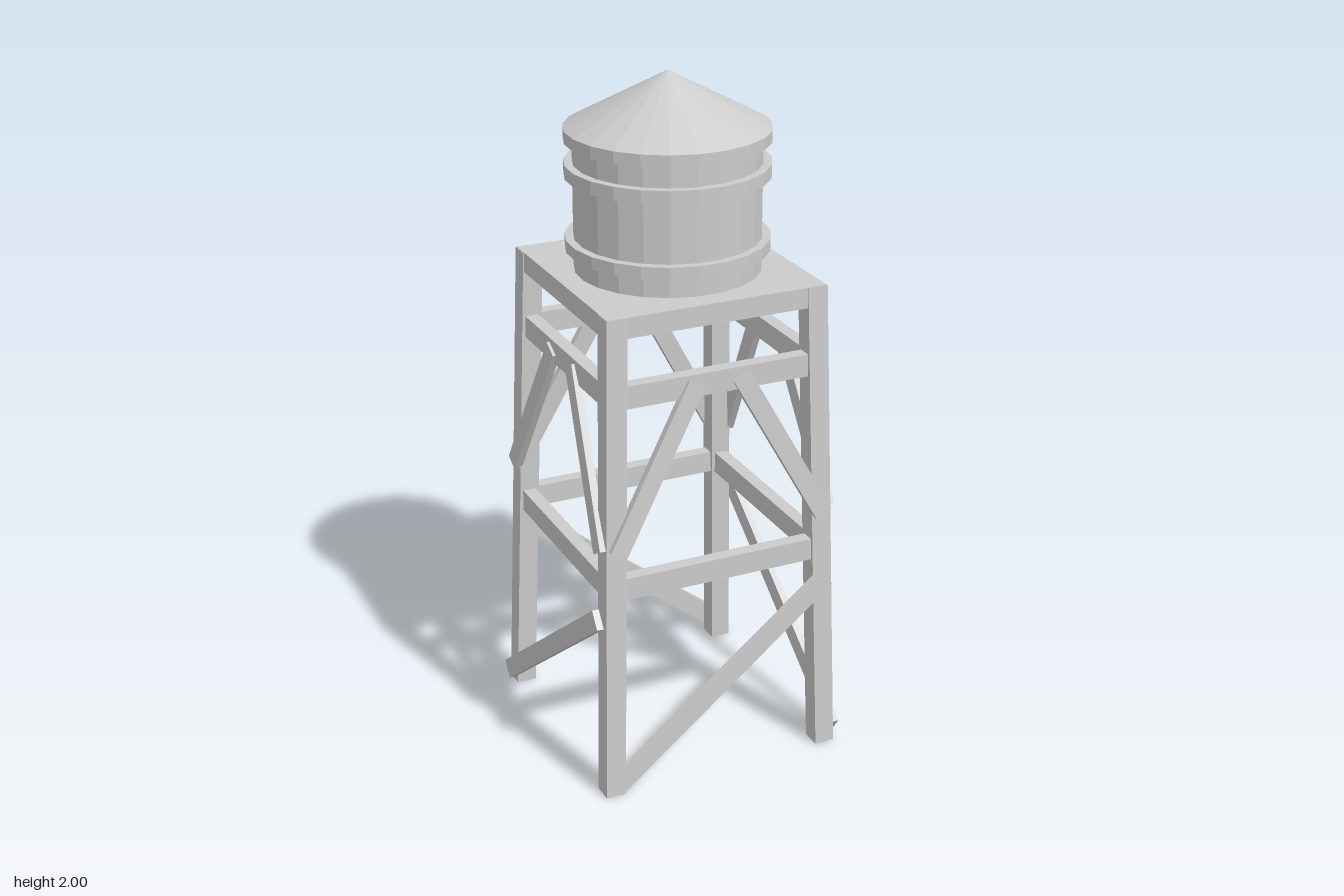
import * as THREE from 'three';

const material = new THREE.MeshStandardMaterial({ color: 0xcccccc, flatShading: true });
const SIDES = 23;
const DECK_TOP = 1.44;
const LEG = 0.06;

// Leg centre lines lean inwards as they rise
const legX = (y) => 0.34 - 0.04 * (y / DECK_TOP);
const legZ = (y) => 0.352 - 0.052 * (y / DECK_TOP);

function add(parent, name, geometry, y = 0) {
  const mesh = new THREE.Mesh(geometry, material);
  mesh.name = name;
  mesh.position.y = y;
  parent.add(mesh);
  return mesh;
}

// Flat plank from a to b, its broad side facing outwards (+z)
function plank(parent, name, a, b, width, thickness) {
  const start = new THREE.Vector3(...a);
  const end = new THREE.Vector3(...b);
  const along = end.clone().sub(start);
  const mesh = add(parent, name, new THREE.BoxGeometry(along.length(), width, thickness));
  const x = along.normalize();
  const y = new THREE.Vector3(0, 0, 1).cross(x).normalize();
  const z = x.clone().cross(y);
  mesh.quaternion.setFromRotationMatrix(new THREE.Matrix4().makeBasis(x, y, z));
  mesh.position.copy(start).add(end).multiplyScalar(0.5);
}

// Leg: a box sheared along its height so both ends stay level
function legGeometry(sx, sz) {
  const height = DECK_TOP - 0.001;
  const geometry = new THREE.BoxGeometry(LEG, height, LEG);
  geometry.translate(0, height / 2, 0);
  const p = geometry.attributes.position;
  for (let i = 0; i < p.count; i++) {
    const y = p.getY(i);
    p.setXYZ(i, p.getX(i) + sx * legX(y), y, p.getZ(i) + sz * legZ(y));
  }
  geometry.computeVertexNormals();
  return geometry;
}

function drum(radius, bottom, top, topRadius = radius) {
  const geometry = new THREE.CylinderGeometry(topRadius, radius, top - bottom, SIDES, 1, false, Math.PI);
  return geometry.translate(0, (top + bottom) / 2, 0);
}

function createTower() {
  const tower = new THREE.Group();
  tower.name = 'tower';

  for (const sx of [-1, 1]) for (const sz of [-1, 1]) add(tower, 'leg', legGeometry(sx, sz));
  add(tower, 'deck', new THREE.BoxGeometry(0.656, 0.06, 0.656), DECK_TOP - 0.03);

  // Each side carries two rails, one long brace and a pair of knee braces
  for (let i = 0; i < 4; i++) {
    const side = new THREE.Group();
    side.name = 'sideFrame';
    side.rotation.y = (i * Math.PI) / 2;
    tower.add(side);
    const [across, depth] = i % 2 ? [legZ, legX] : [legX, legZ];

    for (const y of [0.643, 1.21]) {
      const rail = add(side, 'rail', new THREE.BoxGeometry(2 * across(y) - 0.03, 0.066, 0.04), y);
      rail.position.z = depth(y);
    }

    const out = LEG / 2 + 0.011;
    plank(side, 'longBrace',
      [-across(0.03) - 0.008, 0.035, depth(0.03) + out],
      [across(0.56) + 0.003, 0.56, depth(0.56) + out + 0.004], 0.058, 0.02);

    for (const s of [-1, 1]) {
      plank(side, 'kneeBrace',
        [s * across(0.76), 0.762, depth(0.76) + 0.036],
        [s * 0.068, 1.217, depth(1.21) + 0.018], 0.054, 0.022);
    }
  }
  return tower;
}

function createTank() {
  const tank = new THREE.Group();
  tank.name = 'tank';
  add(tank, 'tankBody', drum(0.265, DECK_TOP, 1.82));
  for (const [bottom, top] of [[1.5, 1.535], [1.71, 1.748], [1.81, 1.845]]) {
    add(tank, 'tankBand', drum(0.289, bottom, top));
  }
  add(tank, 'roof', drum(0.289, 1.845, 2, 0));
  return tank;
}

export function createModel() {
  const model = new THREE.Group();
  model.name = 'waterTower';
  model.add(createTower(), createTank());
  return model;
}
